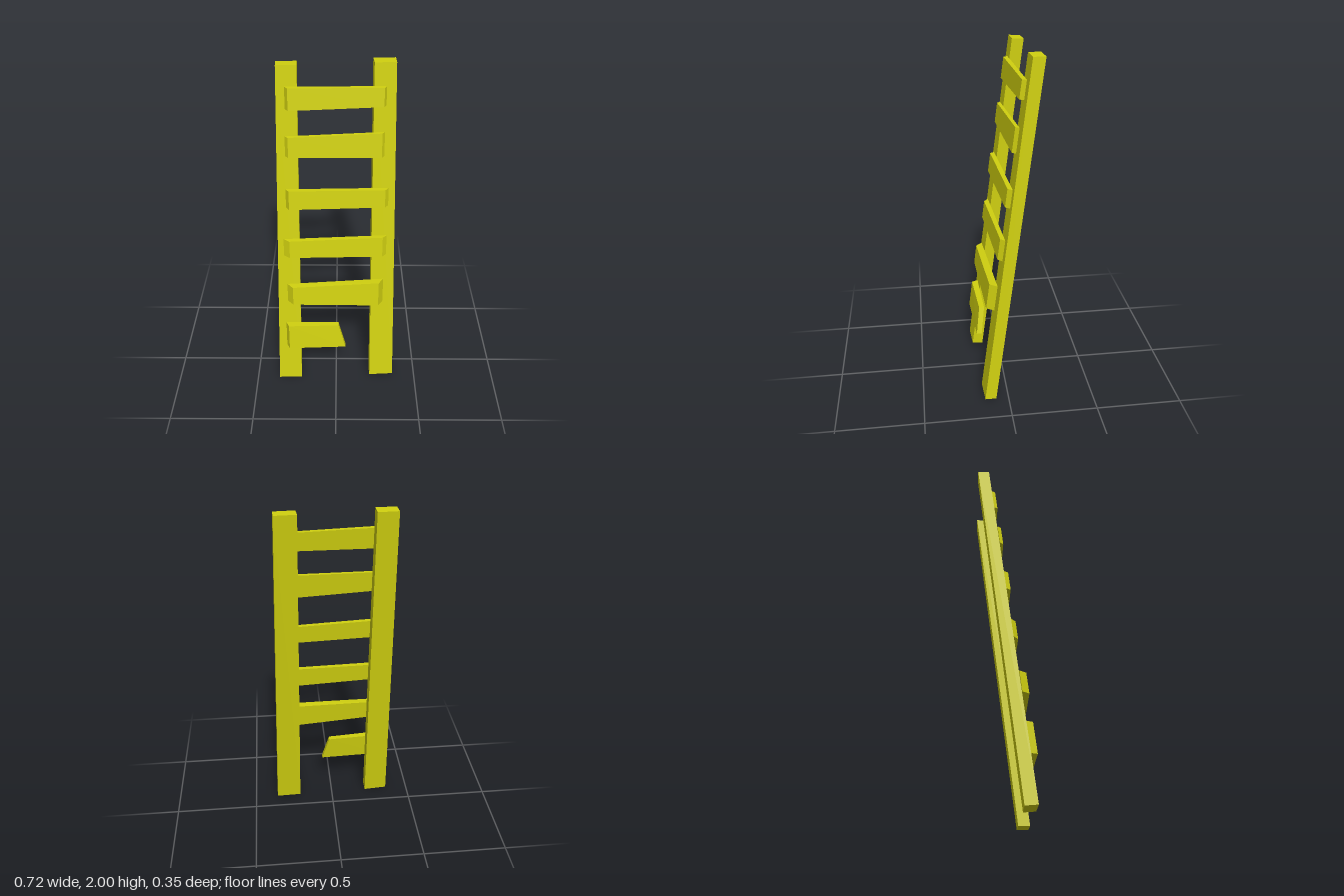
import * as THREE from 'three';

// Six-sided timber from its top and bottom outlines.
// Corner order: back-left, front-left, front-right, back-right (as seen from the front).
function timber(name, top, bottom, material) {
  const c = [...top, ...bottom];
  const quads = [
    [0, 1, 2, 3], // top
    [7, 6, 5, 4], // bottom
    [1, 5, 6, 2], // front
    [3, 7, 4, 0], // back
    [0, 4, 5, 1], // -x end
    [2, 6, 7, 3], // +x end
  ];
  const pos = [];
  for (const [a, b, d, e] of quads) {
    for (const i of [a, b, d, a, d, e]) pos.push(...c[i]);
  }
  const geometry = new THREE.BufferGeometry();
  geometry.setAttribute('position', new THREE.Float32BufferAttribute(pos, 3));
  geometry.computeVertexNormals();
  const mesh = new THREE.Mesh(geometry, material);
  mesh.name = name;
  return mesh;
}

export function createModel() {
  const ladder = new THREE.Group();
  ladder.name = 'ladder';
  const wood = new THREE.MeshStandardMaterial({ color: 0xd0d010 });
  wood.name = 'yellow paint';

  // Leaning side rails, wider at the foot
  ladder.add(timber('rightRail',
    [[-0.312, 1.992, -0.143], [-0.308, 1.995, -0.079], [-0.2, 1.995, -0.083], [-0.202, 1.992, -0.148]],
    [[-0.362, 0.005, 0.105], [-0.36, 0.01, 0.172], [-0.22, 0.005, 0.164], [-0.222, 0, 0.1]], wood));
  ladder.add(timber('leftRail',
    [[0.187, 2, -0.172], [0.192, 2, -0.107], [0.305, 2, -0.113], [0.303, 2, -0.178]],
    [[0.21, 0.01, 0.082], [0.213, 0.012, 0.147], [0.36, 0.015, 0.14], [0.358, 0.013, 0.075]], wood));

  // Rungs: x and z of the four top corners, then top/bottom heights at each end
  const rungs = [
    { x: [-0.267, -0.25, 0.247, 0.259], z: [-0.068, -0.043, -0.07, -0.093], l: [1.887, 1.77], r: [1.88, 1.78] },
    { x: [-0.273, -0.256, 0.243, 0.257], z: [-0.027, -0.008, -0.04, -0.06], l: [1.627, 1.516], r: [1.638, 1.502] },
    { x: [-0.279, -0.261, 0.27, 0.289], z: [0.008, 0.033, 0.002, -0.023], l: [1.323, 1.212], r: [1.315, 1.21] },
    { x: [-0.301, -0.266, 0.265, 0.288], z: [0.046, 0.072, 0.04, 0.015], l: [1.013, 0.907], r: [1.021, 0.897] },
    { x: [-0.288, -0.254, 0.25, 0.278], z: [0.089, 0.126, 0.099, 0.056], l: [0.717, 0.6], r: [0.733, 0.577] },
    // Broken lowest rung, cut off at a slant
    { x: [-0.304, -0.286, 0.014, 0.014], z: [0.118, 0.155, 0.138, 0.108], l: [0.437, 0.272], r: [0.431, 0.271], cut: 0.044 },
  ];
  const lean = 0.126;
  rungs.forEach(({ x, z, l, r, cut = 0 }, n) => {
    const ends = [l, l, r, r];
    const top = ends.map((e, i) => [x[i], e[0], z[i]]);
    const bottom = ends.map((e, i) => [x[i] + (i > 1 ? cut : 0), e[1], z[i] + lean * (e[0] - e[1])]);
    ladder.add(timber(cut ? 'brokenRung' : `rung${n + 1}`, top, bottom, wood));
  });

  return ladder;
}
